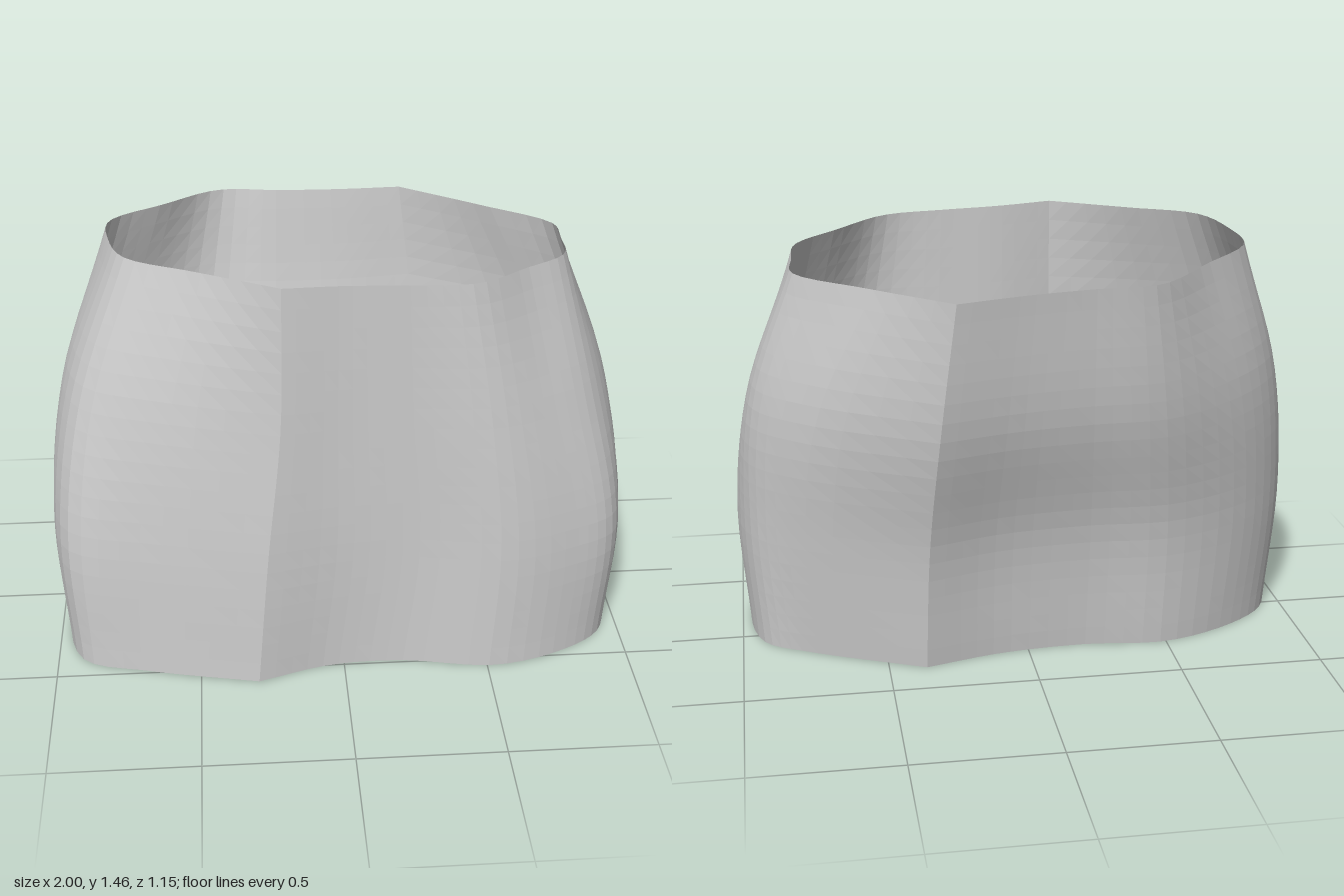
import * as THREE from 'three';
import { ParametricGeometry } from 'three/addons/geometries/ParametricGeometry.js';

// Each panel: four cross-sections from hem to waist, as [x, z] points running from seam to seam.
const leftSections = [
  [[-.3, .575], [-.05, .5], [.2, .49], [.53, .54], [.78, .47], [.93, .36], [.97, .18], [.92, -.06], [.77, -.16], [.37, -.345]],
  [[-.26, .56], [0, .5], [.25, .49], [.55, .53], [.8, .45], [.95, .36], [.998, .17], [.95, -.06], [.8, -.2], [.36, -.41]],
  [[-.21, .53], [0, .49], [.22, .485], [.5, .5], [.7, .41], [.86, .29], [.935, .1], [.92, -.1], [.75, -.28], [.33, -.53]],
  [[-.2, .505], [0, .48], [.2, .475], [.42, .455], [.6, .31], [.75, .17], [.77, 0], [.77, -.16], [.55, -.36], [.28, -.58]],
];
const rightSections = [
  [[.37, -.345], [.1, -.275], [-.2, -.25], [-.5, -.27], [-.76, -.17], [-.92, -.03], [-.97, .17], [-.91, .41], [-.68, .49], [-.3, .575]],
  [[.36, -.41], [.1, -.34], [-.2, -.32], [-.5, -.33], [-.78, -.22], [-.95, -.05], [-.998, .13], [-.93, .38], [-.65, .47], [-.26, .56]],
  [[.33, -.53], [.08, -.48], [-.18, -.46], [-.45, -.455], [-.72, -.3], [-.9, -.1], [-.935, .06], [-.86, .3], [-.6, .42], [-.21, .53]],
  [[.28, -.58], [.05, -.545], [-.17, -.53], [-.38, -.53], [-.58, -.35], [-.755, -.17], [-.755, .02], [-.69, .22], [-.47, .35], [-.2, .505]],
];

const material = new THREE.MeshStandardMaterial({
  color: 0xcccccc, flatShading: true, side: THREE.DoubleSide,
});

// Loft smoothly through the sections; the waist edge is tilted down to the back and left.
function makePanel(name, sections) {
  const curves = sections.map((points) =>
    new THREE.CatmullRomCurve3(points.map(([x, z]) => new THREE.Vector3(x, 0, z))));
  const surface = (u, v, target) => {
    const column = new THREE.CatmullRomCurve3(curves.map((curve, i) => {
      const p = curve.getPoint(u);
      const waist = 1.418 - 0.033 * p.x + 0.08 * p.z;
      p.y = THREE.MathUtils.lerp(0.007, waist, i / (curves.length - 1));
      return p;
    }));
    column.getPoint(v, target);
  };
  const mesh = new THREE.Mesh(new ParametricGeometry(surface, 40, 20), material);
  mesh.name = name;
  return mesh;
}

export function createModel() {
  const skirt = new THREE.Group();
  skirt.name = 'skirt';
  skirt.add(makePanel('leftPanel', leftSections), makePanel('rightPanel', rightSections));
  return skirt;
}
